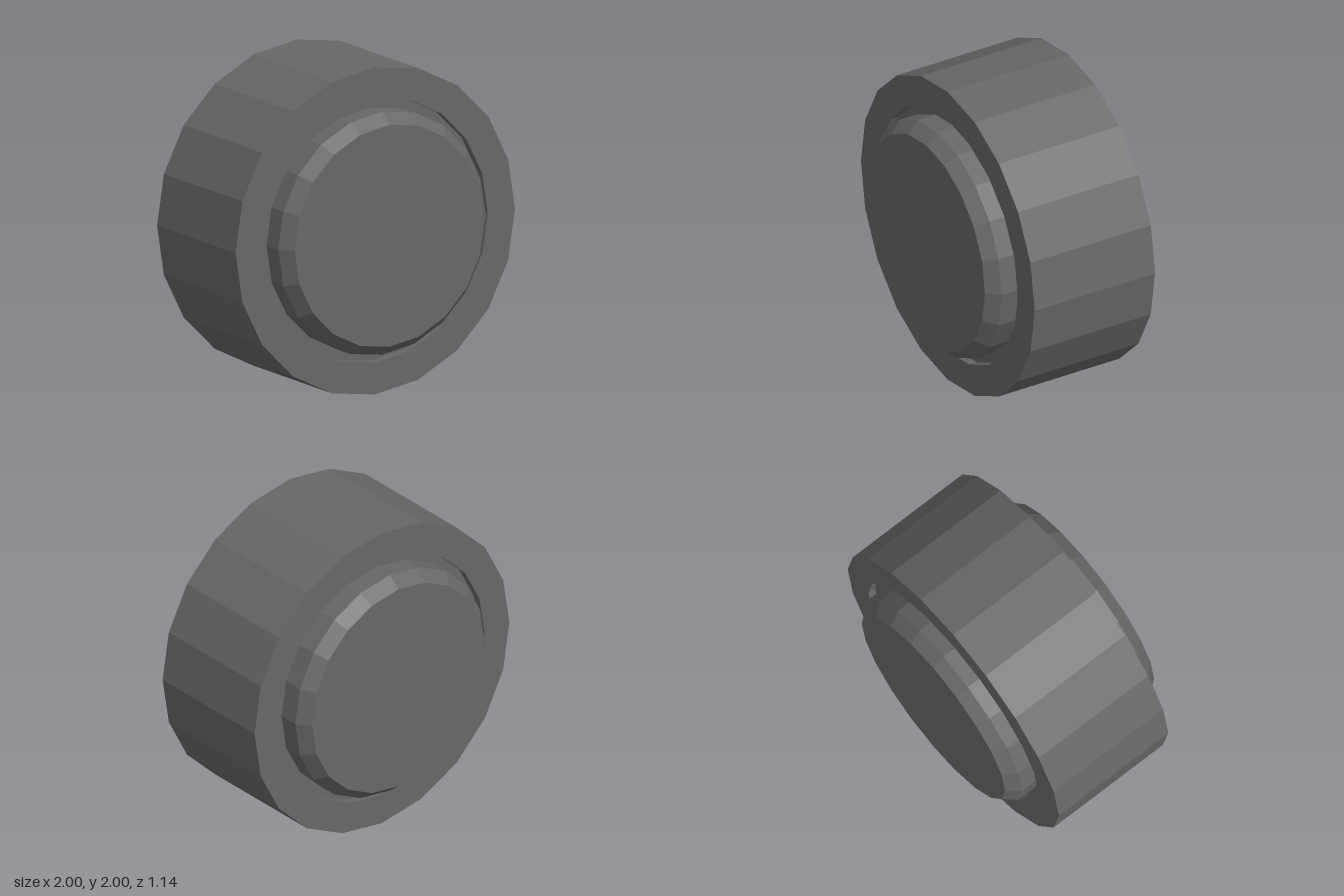
import * as THREE from 'three';

const SIDES = 20;

// Faceted solid of revolution about z; half profile [radius, z] runs from the rim to the axis on the +z side
function turned(name, half, material) {
  const mirrored = half.map(([r, z]) => [r, -z]).reverse();
  const points = [...mirrored, ...half].map(([r, z]) => new THREE.Vector2(r, z));
  const geometry = new THREE.LatheGeometry(points, SIDES).toNonIndexed();
  geometry.rotateX(Math.PI / 2);
  geometry.computeVertexNormals();
  const mesh = new THREE.Mesh(geometry, material);
  mesh.name = name;
  return mesh;
}

export function createModel() {
  const group = new THREE.Group();
  group.name = 'wheel';
  const material = new THREE.MeshStandardMaterial({ color: 0x676767, flatShading: true });

  // Thick tyre with a shallow groove around the hub on each face
  group.add(turned('tyre', [[1, 0.417], [0.805, 0.417], [0.805, 0.365], [0.74, 0.365]], material));

  // Bevelled hub standing out on both sides
  group.add(turned('hub', [[0.743, 0.365], [0.743, 0.49], [0.678, 0.568], [0, 0.568]], material));

  group.position.y = 1;
  return group;
}
